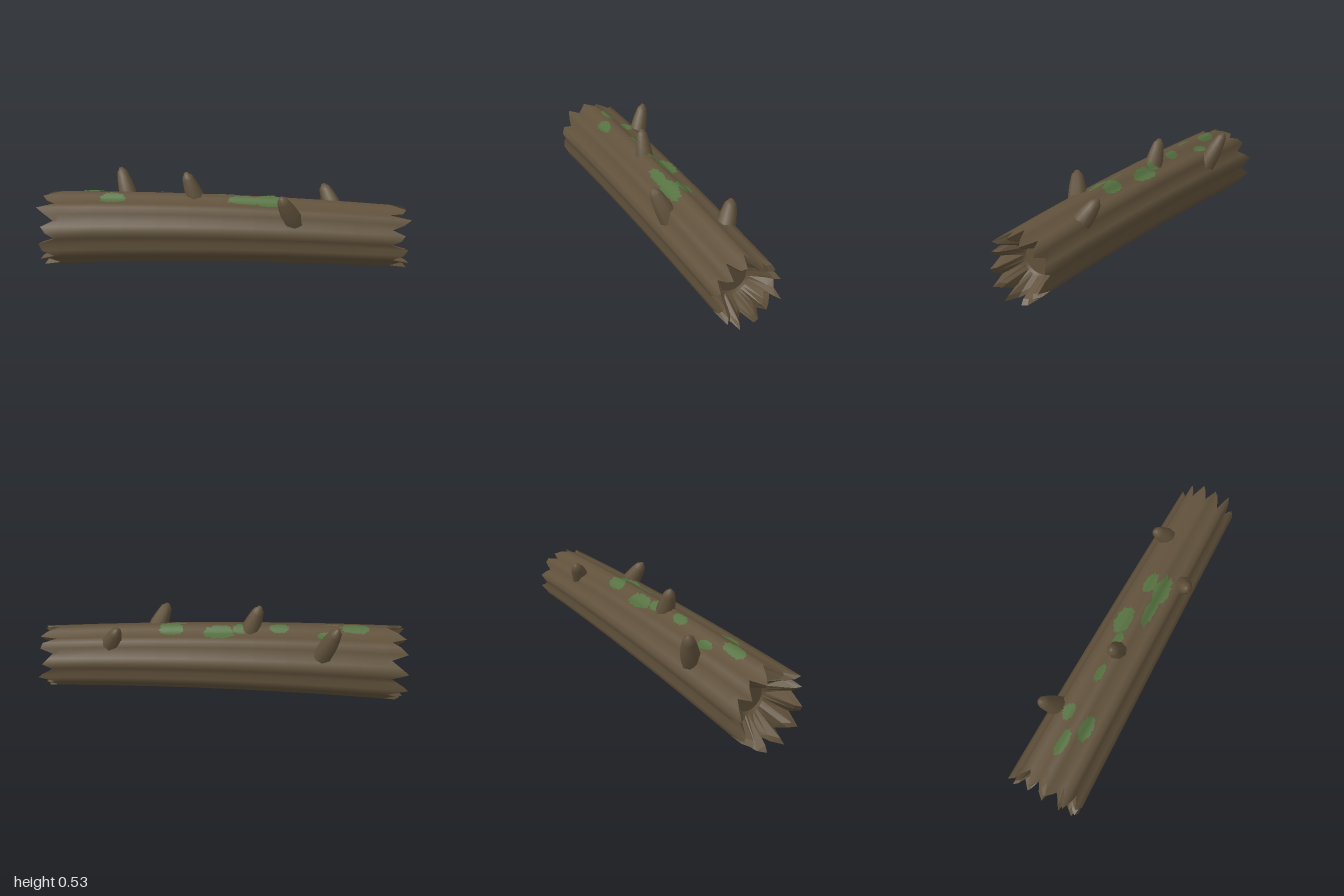
import * as THREE from 'three';

const SEG = 36; // sides of the fluted log, four per ridge
const ZC = 0.007;

// seeded random numbers
function seeded(seed) {
  return () => {
    seed = (seed * 16807) % 2147483647;
    return seed / 2147483647;
  };
}

// point on the log: nine ridges (broader below), tapering and bowed; angle 0 is the top
function logPoint(x, angle, scale = 1, lift = 0) {
  const broad = Math.cos(angle) < Math.cos(Math.PI / 1.8) ? 2 : 1;
  const groove = ((1 - Math.cos(9 * angle)) / 2) ** broad;
  const r = (0.19 - 0.02 * x) * (1 - 0.12 * groove) * scale + lift;
  const cy = 0.2015 + 0.0235 * (1 - x * x);
  return [x, cy + r * Math.cos(angle), ZC + r * Math.sin(angle)];
}

// closed strip of rings, point(row, column)
function ringGeometry(rows, cols, point, flip) {
  const pos = [], index = [];
  for (let i = 0; i < rows; i++)
    for (let j = 0; j < cols; j++) pos.push(...point(i, j));
  for (let i = 0; i < rows - 1; i++)
    for (let j = 0; j < cols; j++) {
      const a = i * cols + j, b = i * cols + (j + 1) % cols;
      const c = a + cols, d = b + cols;
      if (flip) index.push(a, c, b, b, c, d);
      else index.push(a, b, c, b, d, c);
    }
  const geo = new THREE.BufferGeometry();
  geo.setAttribute('position', new THREE.Float32BufferAttribute(pos, 3));
  geo.setIndex(index);
  geo.computeVertexNormals();
  return geo;
}

export function createModel() {
  const group = new THREE.Group();
  const bark = new THREE.MeshStandardMaterial({ name: 'bark brown', color: 0x60513b });
  const green = new THREE.MeshStandardMaterial({ name: 'moss green', color: 0x54703f });
  const add = (name, geo, mat) => {
    const mesh = new THREE.Mesh(geo, mat);
    mesh.name = name;
    group.add(mesh);
    return mesh;
  };

  // splinter lengths of both broken ends: notch, tip, shoulder
  const rand = seeded(4711);
  const rim = () => Array.from({ length: SEG }, (_, j) =>
    [0.885, 0.965, 0.935][j % 3] + 0.035 * rand());
  const rims = { '-1': rim(), '1': rim() };
  for (const s of [-1, 1]) for (const j of [4, 16, 25]) rims[s][j] = 1;

  // bark, ending in the jagged rims
  const ROWS = 13;
  add('logBark', ringGeometry(ROWS, SEG, (i, j) => {
    let x = -0.87 + 1.74 * (i - 1) / (ROWS - 3);
    if (i === 0) x = -rims[-1][j];
    if (i === ROWS - 1) x = rims[1][j];
    return logPoint(x, j / SEG * Math.PI * 2);
  }), bark);

  // splintered ends sloping in to a round, sunken core
  for (const s of [-1, 1]) {
    const end = s > 0 ? 'left' : 'right';
    const core = logPoint(s, 0, 0);
    const geo = ringGeometry(4, SEG, (i, j) => {
      const a = j / SEG * Math.PI * 2, tip = rims[s][j];
      if (i < 2) return logPoint(s * (i ? tip - 0.02 : tip), a, i ? 0.86 : 1);
      const r = i === 2 ? 0.086 : 0.076;
      const x = i === 2 ? 0.83 : 0.82;
      return [s * x, core[1] + r * Math.cos(a), core[2] + r * Math.sin(a)];
    }, s < 0).toNonIndexed();
    geo.computeVertexNormals();
    add(end + 'Splinters', geo, bark);
    const disc = add(end + 'Core', new THREE.CircleGeometry(0.077, SEG), bark);
    disc.position.set(s * 0.82, core[1], core[2]);
    disc.rotation.y = s * Math.PI / 2;
  }

  // broken branch stubs: base, tip
  const stubs = [
    [[-0.55, 0.34, -0.14], [-0.603, 0.497, -0.203]],
    [[-0.145, 0.37, 0], [-0.205, 0.532, -0.008]],
    [[0.375, 0.325, 0.122], [0.31, 0.46, 0.174]],
    [[0.605, 0.32, -0.075], [0.545, 0.443, -0.143]],
  ];
  const profile = [[0.052, -0.25], [0.052, 0], [0.049, 0.25], [0.043, 0.5], [0.034, 0.75],
    [0.028, 0.87], [0.018, 0.92], [0.011, 0.99], [0, 1]];
  for (const [b, t] of stubs) {
    const base = new THREE.Vector3(...b);
    const dir = new THREE.Vector3(...t).sub(base);
    const len = dir.length();
    const points = profile.map(([r, h]) => new THREE.Vector2(r, h * len));
    const stub = add('branchStub', new THREE.LatheGeometry(points, 8), bark);
    stub.position.copy(base);
    stub.quaternion.setFromUnitVectors(new THREE.Vector3(0, 1, 0), dir.normalize());
  }

  // moss patches lying on the top: x, z, half length, half width
  const patches = [
    [-0.72, -0.015, 0.08, 0.032], [-0.56, -0.072, 0.05, 0.032], [-0.6, 0.062, 0.075, 0.036],
    [-0.31, -0.025, 0.055, 0.028], [-0.1, -0.03, 0.04, 0.032], [0.015, -0.055, 0.088, 0.048],
    [0.275, -0.03, 0.07, 0.038], [0.12, 0.05, 0.1, 0.03], [0.26, 0.052, 0.1, 0.045],
  ];
  for (const [px, pz, hx, hz] of patches) {
    const N = 40;
    const edge = Array.from({ length: N }, (_, j) => 0.78 + 0.1 * (j % 2) + 0.25 * rand());
    add('mossPatch', ringGeometry(6, N, (i, j) => {
      const a = j / N * Math.PI * 2, r = edge[j] * (1 - i / 5);
      const x = px + hx * r * Math.cos(a), z = pz + hz * r * Math.sin(a);
      return logPoint(x, Math.asin((z - ZC) / (0.19 - 0.02 * x)), 1, 0.005);
    }, true), green);
  }

  return group;
}
